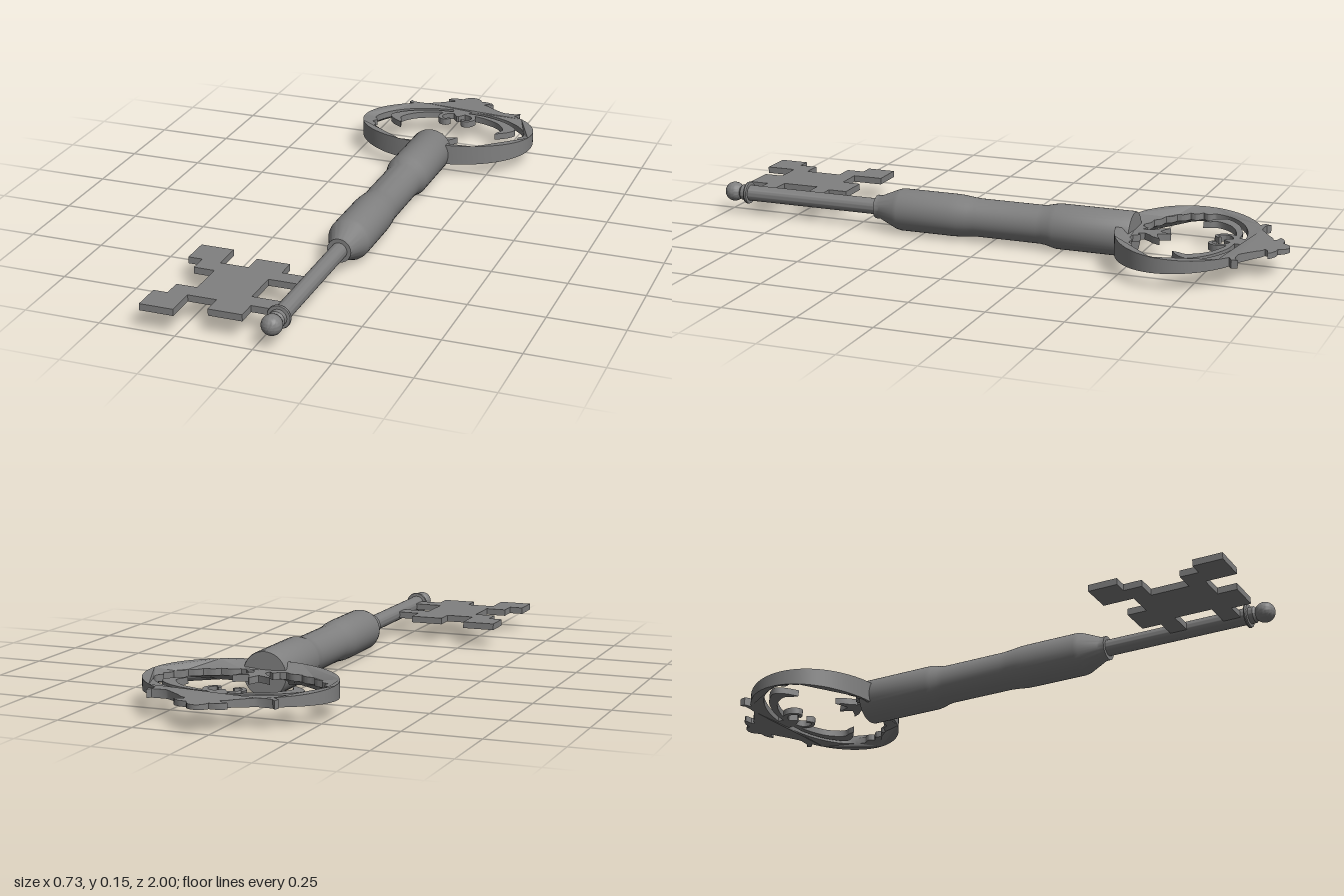
import * as THREE from 'three';
import { toCreasedNormals } from 'three/addons/utils/BufferGeometryUtils.js';

const AXIS_X = 0.05, AXIS_Y = 0.075;
const material = new THREE.MeshStandardMaterial({ color: 0x808080 });
const V = (x, y) => new THREE.Vector2(x, y);
const toVecs = (list) => list.map(([x, y]) => V(x, y));

// Smooth a short list of points into a curve
const smooth = (list, n = 20) => new THREE.SplineCurve(toVecs(list)).getPoints(n);

// Close a right-hand outline with its mirror image across x = 0
const flipped = (pts) => pts.map((p) => V(-p.x, p.y));
const mirrored = (pts) => [...pts, ...flipped(pts).reverse()];

// Part of an oval centred at (0, 0.67), with scallops on its lower half
function oval(a, bLow, bUp, from, to, n, bump = 0) {
  const pts = [];
  for (let i = 0; i <= n; i++) {
    const t = from + (to - from) * i / n;
    const s = t < 0.06 ? 1 - bump * Math.abs(Math.sin((t - 0.06) * 14)) : 1;
    pts.push(V(a * Math.cos(t) * s, 0.67 + (t < 0 ? bLow : bUp) * Math.sin(t) * s));
  }
  return pts;
}

// Ribbon of tapering width along a curve
function ribbon(list, w0, w1, n = 24) {
  const curve = new THREE.SplineCurve(toVecs(list));
  const left = [], right = [];
  for (let i = 0; i <= n; i++) {
    const p = curve.getPoint(i / n), t = curve.getTangent(i / n);
    const w = w0 + (w1 - w0) * i / n;
    left.push(V(p.x - t.y * w, p.y + t.x * w));
    right.push(V(p.x + t.y * w, p.y - t.x * w));
  }
  return [...left, ...right.reverse()];
}

// Plate lying in the ground plane; outline y points to the back
function plate(name, outline, halfAt, y, hole) {
  const shape = new THREE.Shape(outline);
  if (hole) shape.holes.push(new THREE.Path(hole));
  let geo = new THREE.ExtrudeGeometry(shape, { depth: 1, bevelEnabled: false, steps: 1 });
  geo.rotateX(-Math.PI / 2);
  const pos = geo.attributes.position;
  for (let i = 0; i < pos.count; i++) {
    pos.setY(i, y + (pos.getY(i) - 0.5) * 2 * halfAt(pos.getX(i), -pos.getZ(i)));
  }
  geo.translate(AXIS_X, 0, 0);
  geo = toCreasedNormals(geo, 0.6);
  const mesh = new THREE.Mesh(geo, material);
  mesh.name = name;
  return mesh;
}

function lathe(name, profile) {
  let geo = new THREE.LatheGeometry(profile, 40);
  geo.rotateX(Math.PI / 2);
  geo.translate(AXIS_X, AXIS_Y, 0);
  geo = toCreasedNormals(geo, 0.5);
  const mesh = new THREE.Mesh(geo, material);
  mesh.name = name;
  return mesh;
}

export function createModel() {
  const key = new THREE.Group();
  key.name = 'key';

  // Handle: swelling sleeve with a waist and a cone at the front
  key.add(lathe('handle', toVecs([
    [0, -0.49], [0.073, -0.49], [0.075, -0.485], [0.075, -0.23], [0.072, -0.215], [0.066, -0.19],
    [0.064, -0.17], [0.064, 0.05], [0.066, 0.075], [0.07, 0.11], [0.071, 0.14], [0.071, 0.325],
    [0.068, 0.34], [0.042, 0.4], [0.04, 0.405], [0.04, 0.422], [0.027, 0.422],
  ])));

  // Thin shaft with a collar and a ball at the tip
  const ball = [];
  for (let i = 0; i <= 14; i++) {
    const a = -0.9 + (Math.PI / 2 + 0.9) * i / 14;
    ball.push(V(Math.max(0, 0.033 * Math.cos(a)), 0.967 + 0.033 * Math.sin(a)));
  }
  key.add(lathe('shaft', [...toVecs([
    [0.027, 0.4], [0.027, 0.906], [0.037, 0.907], [0.039, 0.912], [0.037, 0.917],
    [0.027, 0.918], [0.027, 0.934],
  ]), ...ball]));

  // Toothed bit, symmetric front to back about its middle
  const mid = -0.773;
  const teeth = [
    [0, 0.063], [0, 0.12], [-0.098, 0.12], [-0.098, 0.185], [-0.209, 0.185], [-0.209, 0.12],
    [-0.304, 0.12], [-0.304, 0.223], [-0.415, 0.223], [-0.415, 0.125], [-0.368, 0.125],
    [-0.368, 0.063], [-0.299, 0.063],
  ];
  const bitOutline = [
    ...teeth.map(([x, d]) => V(x, mid + d)),
    ...teeth.map(([x, d]) => V(x, mid - d)).reverse(),
    V(-0.119, mid - 0.063), V(-0.119, mid + 0.063),
  ];
  key.add(plate('bit', bitOutline, () => 0.011, AXIS_Y));

  // Bow: the outer rim gets lower toward the back and slopes to a thin inner edge
  const bow = new THREE.Group();
  bow.name = 'bow';
  const halfAt = (u, v) => (Math.hypot(u / 0.313, (v - 0.67) / 0.23) < 0.97
    ? 0.011 : 0.035 - (v - 0.45) * 0.05);
  const addBow = (name, outline, hole) => bow.add(plate(name, outline, halfAt, 0.078, hole));

  // Oval frame with crown, scalloped along the lower inner edge
  const outer = [
    ...oval(0.313, 0.228, 0.235, -Math.PI / 2 + 0.03, 0.91, 44),
    ...toVecs([[0.2, 0.86], [0.213, 0.868], [0.209, 0.888], [0.198, 0.876], [0.18, 0.873], [0.15, 0.873]]),
    ...smooth([[0.14, 0.878], [0.095, 0.909], [0.074, 0.927], [0.056, 0.934]], 8),
    ...toVecs([[0.062, 0.944], [0.087, 0.95], [0.08, 0.96], [0.058, 0.97], [0.036, 0.97]]),
    ...smooth([[0.033, 0.977], [0.026, 0.988], [0.014, 0.997], [0.003, 1]], 6),
  ];
  const inner = oval(0.281, 0.18, 0.18, -Math.PI / 2 + 0.02, Math.PI / 2 - 0.02, 120, 0.05);
  addBow('bowFrame', mirrored(outer), mirrored(inner));

  // Centre post hanging from the crown
  addBow('pendant', mirrored(toVecs([[0.004, 0.788], [0.016, 0.805], [0.03, 0.825], [0.034, 0.856]])));

  // Crescent scrolls and small curls on both sides
  const crescent = [
    ...smooth([[0, 0.83], [0.05, 0.828], [0.098, 0.822], [0.177, 0.79], [0.233, 0.738], [0.22, 0.7], [0.178, 0.668]], 28),
    ...smooth([[0.183, 0.69], [0.192, 0.722], [0.15, 0.775], [0.07, 0.809], [0, 0.812]], 20),
  ];
  const curl = ribbon([[0.02, 0.822], [0.05, 0.808], [0.062, 0.782], [0.052, 0.758], [0.034, 0.753], [0.023, 0.768]], 0.009, 0.005);
  for (const [side, fn] of [['left', (p) => p], ['right', flipped]]) {
    addBow(side + 'Scroll', fn(crescent));
    addBow(side + 'Curl', fn(curl));
  }

  // Three-pointed leaf rising from the handle
  addBow('leaf', mirrored(toVecs([
    [0.062, 0.475], [0.056, 0.505], [0.042, 0.522], [0.026, 0.508], [0.02, 0.53], [0.034, 0.55],
    [0.05, 0.565], [0.063, 0.592], [0.04, 0.58], [0.016, 0.571], [0.008, 0.59], [0.001, 0.612],
  ])));

  key.add(bow);
  return key;
}
